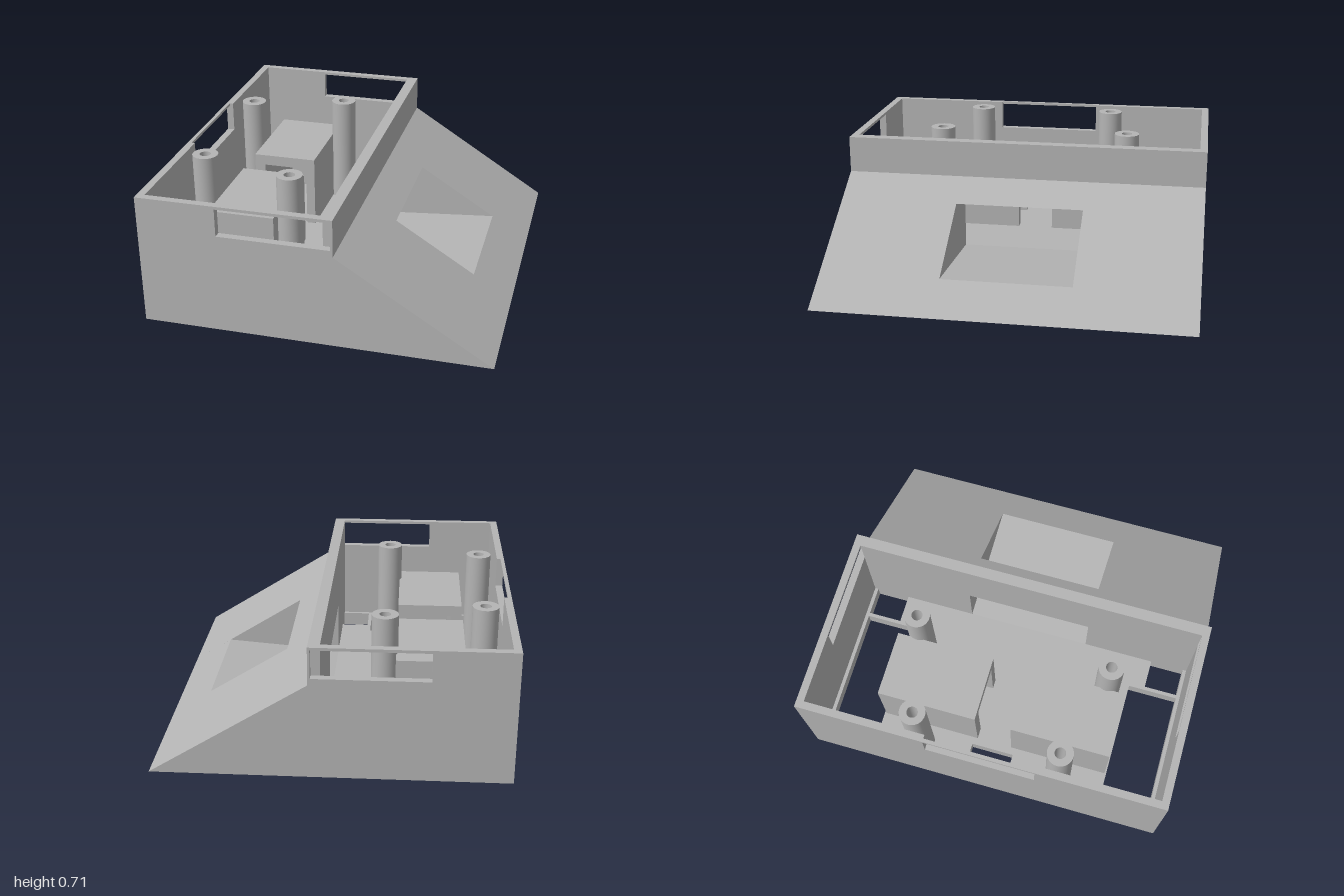
import * as THREE from 'three';

export function createModel() {
  const grey = new THREE.MeshStandardMaterial({ color: 0xb4b4b4 });
  grey.name = 'plain grey';
  const model = new THREE.Group();
  model.name = 'enclosure';

  const toVectors = (pts) => pts.map(([x, y]) => new THREE.Vector2(x, y));
  const rect = (x0, y0, x1, y1) => [[x0, y0], [x1, y0], [x1, y1], [x0, y1]];

  // Extrudes an outline with optional holes along +z
  function plate(outline, depth, holes = []) {
    const shape = new THREE.Shape(toVectors(outline));
    holes.forEach((h) => shape.holes.push(new THREE.Path(toVectors(h))));
    return new THREE.ExtrudeGeometry(shape, { depth, bevelEnabled: false });
  }
  function add(name, geometry, x = 0, y = 0, z = 0) {
    const mesh = new THREE.Mesh(geometry, grey);
    mesh.name = name;
    mesh.position.set(x, y, z);
    model.add(mesh);
  }

  const floorY = 0.08;
  const back = -0.92, inner = 0.04, rim = 0.71;
  const sill = 0.545, lintel = 0.695;

  // Floor with cable cut-outs, drawn in plan and laid flat
  const floorOutline = [
    [back, -0.96], [inner, -0.96], [inner, -0.94], [-0.12, -0.94], [-0.12, -0.75], [inner, -0.75],
    [inner, 0.75], [-0.12, 0.75], [-0.12, 0.94], [inner, 0.94], [inner, 0.96], [back, 0.96],
  ];
  const floor = plate(floorOutline, floorY, [
    rect(-0.86, 0.66, -0.14, 0.94),
    rect(-0.86, -0.94, -0.14, -0.66),
    rect(-0.8, -0.12, -0.72, 0.12),
  ]);
  add('floor', floor.rotateX(-Math.PI / 2));

  // Side walls with a window each
  const side = [[back, 0], [0.91, 0], [0.1, 0.51], [0.1, rim], [back, rim]];
  for (const z of [-1, 0.96]) {
    add('sideWall', plate(side, 0.04, [rect(-0.5, sill, 0.088, lintel)]), 0, 0, z);
  }

  // Back wall: outer skin with a window, inner skin notched to the rim
  const outerSkin = plate(rect(-0.96, 0, 0.96, rim), 0.02, [rect(-0.3, sill, 0.3, lintel)]);
  add('backWallOuter', outerSkin.rotateY(-Math.PI / 2), -0.9);
  const innerSkin = plate([
    [-0.96, 0], [0.96, 0], [0.96, rim], [0.3, rim], [0.3, sill], [-0.3, sill], [-0.3, rim], [-0.96, rim],
  ], 0.02);
  add('backWallInner', innerSkin.rotateY(-Math.PI / 2), -0.88);

  // Sloped nose: two solid sides and a tilted tunnel through the middle
  const nose = [[inner, 0], [0.91, 0], [0.1, 0.51], [0.1, rim], [inner, rim]];
  for (const z of [-0.96, 0.35]) add('noseSide', plate(nose, 0.61), 0, 0, z);
  add('tunnelFloor', plate([[inner, 0], [0.91, 0], [0.7, 0.132], [inner, floorY]], 0.7), 0, 0, -0.35);
  add('tunnelRoof', plate([
    [inner, 0.38], [0.27, 0.403], [0.1, 0.51], [0.1, rim], [inner, rim],
  ], 0.7), 0, 0, -0.35);

  // Screw posts with blind bores
  const postProfile = toVectors([
    [0.07, floorY], [0.07, 0.7], [0.07, 0.7], [0.03, 0.7], [0.03, 0.7], [0.03, 0.35], [0.03, 0.35], [0, 0.35],
  ]);
  for (const s of [-1, 1]) {
    for (const [x, z] of [[-0.78, 0.4], [-0.26, 0.54]]) {
      add('screwPost', new THREE.LatheGeometry(postProfile, 40), x, 0, s * z);
    }
  }

  // Hollow holders, open towards the middle
  const holder = [
    [-0.68, floorY], [-0.62, floorY], [-0.62, 0.43], [-0.37, 0.43],
    [-0.37, floorY], [-0.32, floorY], [-0.32, 0.49], [-0.68, 0.49],
  ];
  for (const s of [-1, 1]) {
    add('holder', plate(holder, 0.5), 0, 0, s > 0 ? 0.1 : -0.6);
    add('holderEnd', new THREE.BoxGeometry(0.36, 0.41, 0.05), -0.5, floorY + 0.205, s * 0.625);
  }
  return model;
}
